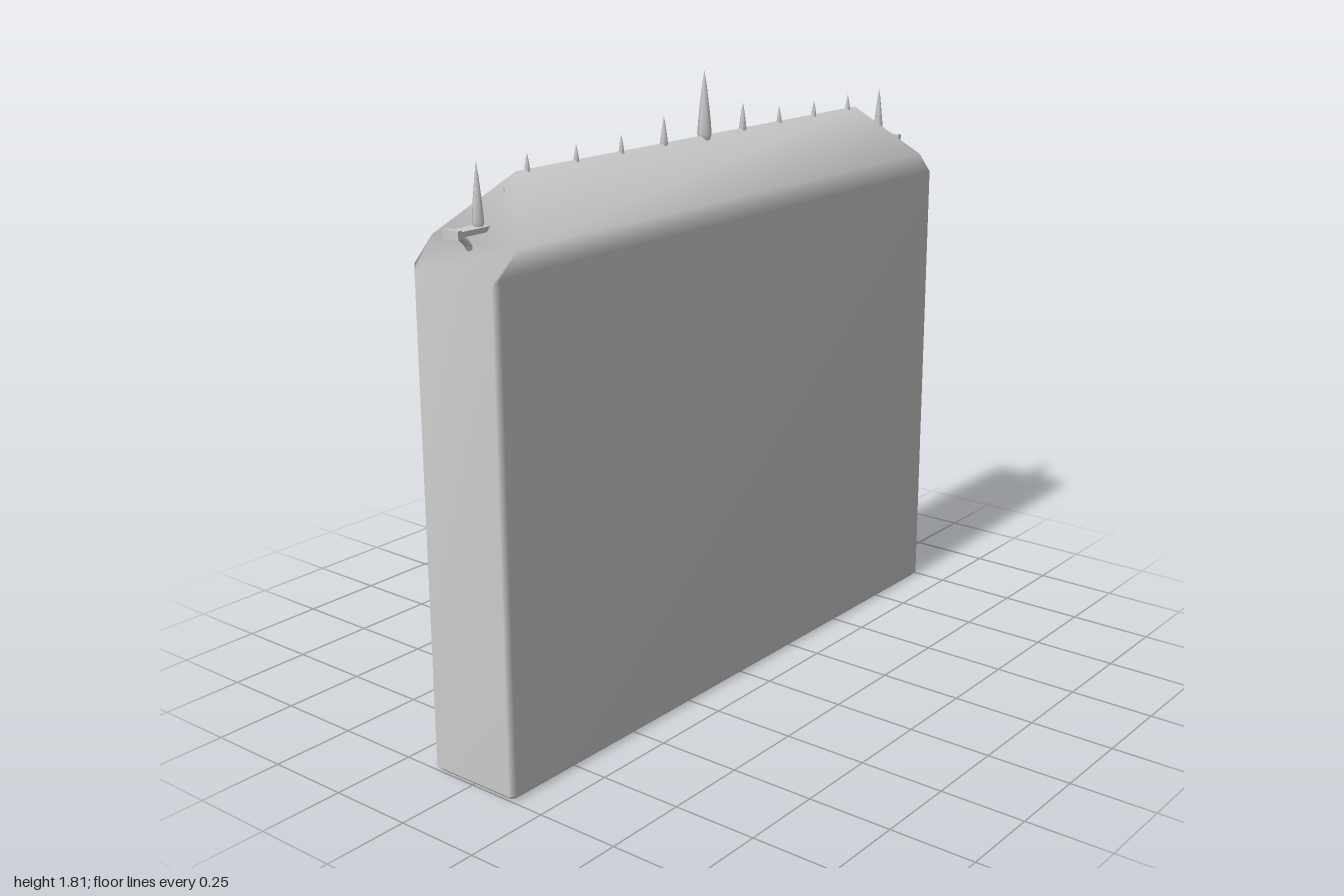
import * as THREE from 'three';
import { mergeVertices } from 'three/addons/utils/BufferGeometryUtils.js';

const material = new THREE.MeshStandardMaterial({ color: 0xcccccc });

function addMesh(parent, name, geometry, x = 0, y = 0, z = 0) {
  const mesh = new THREE.Mesh(geometry, material);
  mesh.name = name;
  mesh.position.set(x, y, z);
  parent.add(mesh);
  return mesh;
}

// Rectangular ring with cut corners, listed so that the wall faces outward
function ring(w, d, cut, heightAt) {
  const corners = [
    [w - cut, d], [w, d - cut], [w, cut - d], [w - cut, -d],
    [cut - w, -d], [-w, cut - d], [-w, d - cut], [cut - w, d],
  ];
  return corners.map(([x, z]) => [x, heightAt(z), z]);
}

// Slab with bevelled corners, a pitched roof and 45 degree hipped ends
function bodyGeometry() {
  const rings = [
    ring(0.14, 0.99, 0.012, () => 0),
    ring(0.15, 1, 0.015, () => 0.012),
    ring(0.15, 1, 0.015, z => 2.39 - Math.abs(z)),
    ring(0.15, 0.92, 0, () => 1.47),
    ring(0, 0.765, 0, () => 1.625),
  ];
  rings[2].forEach(p => { if (Math.abs(p[0]) > 0.149) p[1] = 1.405; });
  const positions = rings.flat(2);
  const index = [];
  for (let r = 0; r < rings.length - 1; r++) {
    for (let i = 0; i < 8; i++) {
      const a = r * 8 + i, b = r * 8 + (i + 1) % 8;
      index.push(a, b, b + 8, a, b + 8, a + 8);
    }
  }
  for (let i = 1; i < 7; i++) index.push(0, i + 1, i); // underside
  let geometry = new THREE.BufferGeometry();
  geometry.setAttribute('position', new THREE.Float32BufferAttribute(positions, 3));
  geometry.setIndex(index);
  geometry = mergeVertices(geometry, 1e-4);
  geometry.computeVertexNormals();
  return geometry;
}

// Slim spear, slightly waisted at its foot
function spikeGeometry(height, radius) {
  const profile = [[0.7, 0], [1, 0.1], [0.75, 0.4], [0.32, 0.78], [0, 1]];
  return new THREE.LatheGeometry(
    profile.map(([r, y]) => new THREE.Vector2(r * radius, y * height)), 6);
}

// Small ledge on a hipped end, with its lip, curved strut and spear
function createLedge() {
  const ledge = new THREE.Group();
  ledge.name = 'endLedge';
  addMesh(ledge, 'ledgePlate', new THREE.BoxGeometry(0.044, 0.014, 0.12), 0, 1.499, 0.935);
  addMesh(ledge, 'ledgeLip', new THREE.BoxGeometry(0.054, 0.024, 0.014), 0, 1.499, 0.993);
  const curve = new THREE.QuadraticBezierCurve3(
    new THREE.Vector3(0, 1.495, 0.985),
    new THREE.Vector3(0, 1.485, 0.95),
    new THREE.Vector3(0, 1.445, 0.932));
  addMesh(ledge, 'ledgeStrut', new THREE.TubeGeometry(curve, 8, 0.009, 6));
  addMesh(ledge, 'ledgeSpike', spikeGeometry(0.17, 0.016), 0, 1.5, 0.905);
  return ledge;
}

export function createModel() {
  const model = new THREE.Group();
  model.name = 'slab';
  addMesh(model, 'body', bodyGeometry());

  // Spears along the ridge, tallest in the middle: z, foot, height, radius
  addMesh(model, 'centreSpike', spikeGeometry(0.2, 0.021), 0, 1.61, 0);
  const spikes = [
    [0.18, 1.615, 0.085, 0.011],
    [0.36, 1.615, 0.055, 0.008],
    [0.54, 1.615, 0.052, 0.008],
    [0.725, 1.615, 0.052, 0.008],
    [0.812, 1.565, 0.028, 0.005],
  ];
  for (const side of [1, -1]) {
    for (const [z, foot, height, radius] of spikes) {
      addMesh(model, 'ridgeSpike', spikeGeometry(height, radius), 0, foot, side * z);
    }
    const ledge = createLedge();
    if (side < 0) ledge.rotation.y = Math.PI;
    model.add(ledge);
  }
  return model;
}
